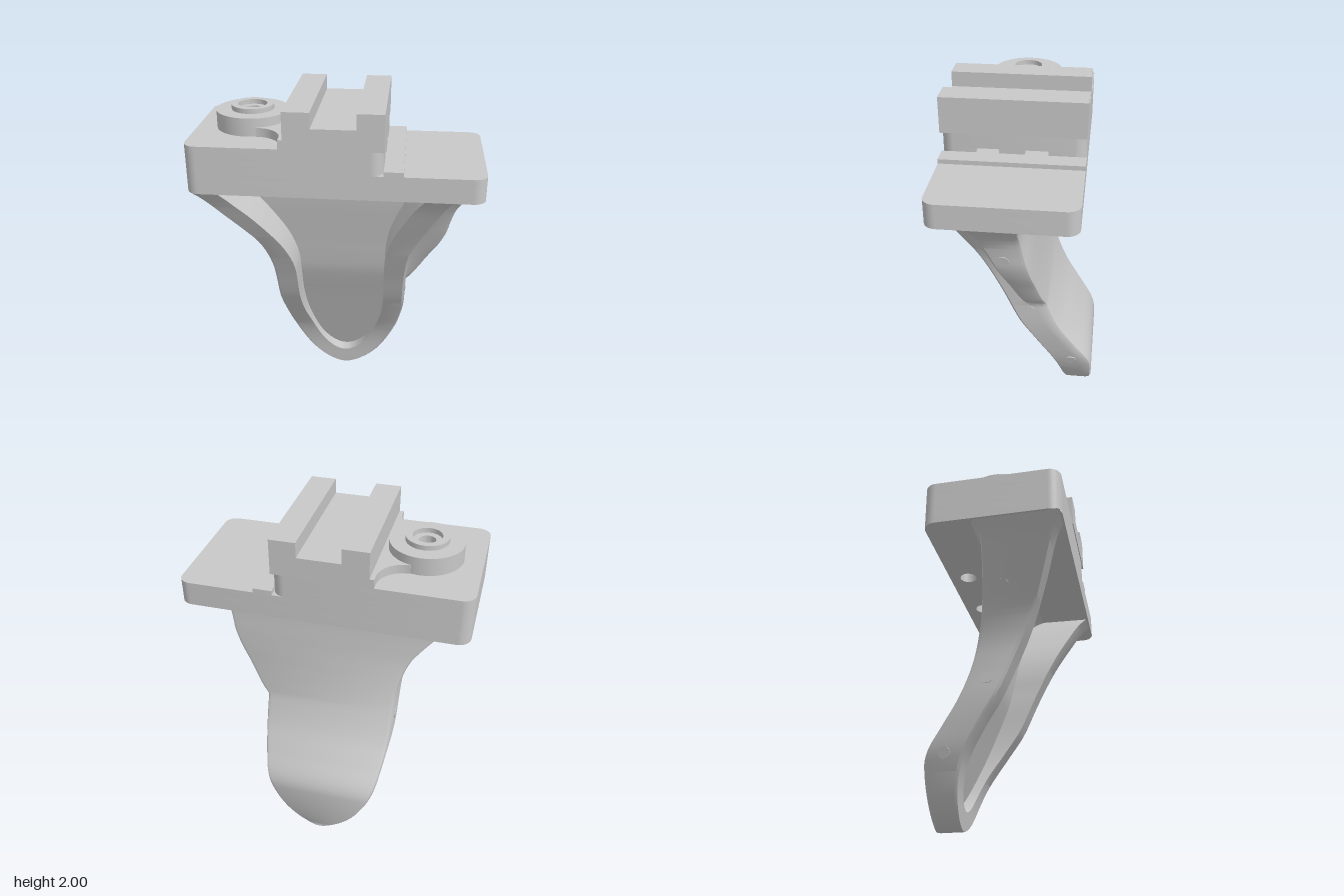
import * as THREE from 'three';
import { toCreasedNormals } from 'three/addons/utils/BufferGeometryUtils.js';

// Smooth function through [key, value] pairs; warp reshapes the key axis (sqrt gives round tips)
function profile(pts, warp = (k) => k) {
  const k = pts.map((p) => warp(p[0])), v = pts.map((p) => p[1]), n = pts.length;
  const slope = v.map((_, i) => {
    const a = Math.max(i - 1, 0), b = Math.min(i + 1, n - 1);
    return (v[b] - v[a]) / (k[b] - k[a]);
  });
  return (y) => {
    const x = THREE.MathUtils.clamp(warp(y), k[0], k[n - 1]);
    let i = 0;
    while (i < n - 2 && x > k[i + 1]) i++;
    const h = k[i + 1] - k[i], t = (x - k[i]) / h, t2 = t * t, t3 = t2 * t;
    return v[i] * (2 * t3 - 3 * t2 + 1) + slope[i] * h * (t3 - 2 * t2 + t)
      + v[i + 1] * (3 * t2 - 2 * t3) + slope[i + 1] * h * (t3 - t2);
  };
}

const TOP = 1.537, TIP = 0.11, EAR = 0.81;
// Half-widths: lower part is shared, the upper part flares less on the side with the ear
const lowerOuter = [[0, 0], [0.05, 0.14], [0.17, 0.25], [0.35, 0.335], [0.5, 0.37], [0.65, 0.39], [0.82, 0.395], [0.95, 0.403]];
const outer = profile([...lowerOuter, [1.05, 0.425], [1.15, 0.465], [1.25, 0.54], [1.35, 0.625], [1.45, 0.71], [TOP, 0.79]], Math.sqrt);
const rimEdge = profile([...lowerOuter, [1.05, 0.415], [1.15, 0.44], [1.25, 0.483], [1.35, 0.535], [1.45, 0.59], [TOP, 0.645]], Math.sqrt);
const fromTip = (y) => Math.sqrt(Math.max(y - TIP, 0));
const lowerInner = [[TIP, 0], [0.15, 0.09], [0.25, 0.165], [0.35, 0.205], [0.5, 0.245], [0.65, 0.262], [0.85, 0.265], [0.95, 0.27]];
const inner = profile([...lowerInner, [1.05, 0.295], [1.15, 0.34], [1.25, 0.405], [1.35, 0.48], [1.45, 0.57], [TOP, 0.64]], fromTip);
const innerRight = profile([...lowerInner, [1.05, 0.275], [1.15, 0.293], [1.25, 0.327], [1.35, 0.375], [1.45, 0.43], [TOP, 0.49]], fromTip);
const earWidth = profile([[EAR, 0.395], [0.86, 0.437], [0.93, 0.478], [1, 0.515], [1.1, 0.575], [1.2, 0.618],
  [1.3, 0.64], [1.4, 0.672], [1.48, 0.735], [TOP, 0.79]]);
const rightSide = (y) => (y > EAR ? earWidth(y) : rimEdge(y));
// Depths of the front rim, the back, the pocket floor and the ear
const frontZ = profile([[0, -0.28], [0.2, -0.25], [0.35, -0.2], [0.52, -0.1], [0.68, 0], [0.9, 0.1], [1.3, 0.29], [1.48, 0.377], [TOP, 0.42]]);
const backZ = profile([[0, -0.435], [0.3, -0.435], [0.38, -0.41], [0.5, -0.33], [0.65, -0.235], [0.82, -0.165],
  [0.95, -0.13], [1.3, -0.06], [1.46, -0.04], [1.5, -0.045], [TOP, -0.085]]);
const floorZ = profile([[TIP, -0.35], [0.35, -0.26], [0.6, -0.165], [0.8, -0.087], [0.88, -0.062], [1.1, -0.018],
  [1.3, 0.022], [1.45, 0.05], [1.5, 0.07], [TOP, 0.13]]);
const earZ = profile([[EAR, -0.04], [0.87, -0.01], [1.2, 0.12], [TOP, 0.26]]);

// Horizontal section of the curved support, clockwise from above
function section(y) {
  const w = outer(y), wr = rimEdge(y), e = rightSide(y), f = frontZ(y), b = backZ(y);
  const pocket = y > TIP;
  const wl = pocket ? inner(y) : 0, wi = pocket ? innerRight(y) : 0, floor = pocket ? floorZ(y) : f;
  const r = Math.min(0.03, w * 0.3), rim = Math.min(0.015, w * 0.2);
  const z = y > EAR ? earZ(y) : (f + b) / 2;
  const d = e - wr;
  return [
    [-w, b + r], [-w + r * 0.3, b + r * 0.3], [-w + r, b], [e - r, b], [e - r * 0.3, b + r * 0.3], [e, b + r],
    [e, z - 0.03], [e - d * 0.15, z - 0.01], [wr + d * 0.25, z], [wr, z + d * 0.2],
    [wr, f - rim], [wr - rim, f], [wi, f], [wi * 0.98, floor], [-wl * 0.98, floor], [-wl, f], [-w + rim, f], [-w, f - rim],
  ];
}

function supportGeometry() {
  const levels = [];
  for (let i = 0; i <= 10; i++) levels.push(TIP * (i / 10) ** 2);
  for (let i = 0; i <= 70; i++) levels.push(TIP + 0.0005 + (TOP - TIP - 0.0005) * (i / 70) ** 1.4);
  const pos = [], idx = [];
  let n = 0;
  levels.forEach((y, row) => {
    const ring = section(y);
    n = ring.length;
    ring.forEach(([x, z]) => pos.push(x, y, z));
    if (row === 0) return;
    for (let j = 0; j < n; j++) {
      const a = (row - 1) * n + j, b = (row - 1) * n + (j + 1) % n;
      idx.push(a, a + n, b, b, a + n, b + n);
    }
  });
  const g = new THREE.BufferGeometry();
  g.setAttribute('position', new THREE.Float32BufferAttribute(pos, 3));
  g.setIndex(idx);
  return toCreasedNormals(g, 0.7);
}

// Plan outline with rounded corners; shape y is -z
function plan(x0, x1, z0, z1, r, notches = []) {
  const s = new THREE.Shape(), a = -z1, b = -z0;
  s.moveTo(x0 + r, a);
  s.absarc(x1 - r, a + r, r, -Math.PI / 2, 0, false);
  notches.forEach((z) => {
    s.lineTo(x1, -z - 0.063);
    s.lineTo(x1 - 0.06, -z - 0.063);
    s.lineTo(x1 - 0.06, -z + 0.063);
    s.lineTo(x1, -z + 0.063);
  });
  s.absarc(x1 - r, b - r, r, 0, Math.PI / 2, false);
  s.absarc(x0 + r, b - r, r, Math.PI / 2, Math.PI, false);
  s.absarc(x0 + r, a + r, r, Math.PI, Math.PI * 1.5, false);
  return s;
}

function slab(shape, y0, y1) {
  const g = new THREE.ExtrudeGeometry(shape, { depth: y1 - y0, bevelEnabled: false, curveSegments: 12 });
  g.rotateX(-Math.PI / 2).translate(0, y0, 0);
  return toCreasedNormals(g, 0.5);
}

export function createModel() {
  const model = new THREE.Group();
  const grey = new THREE.MeshStandardMaterial({ color: 0xc8c8c8 });
  grey.name = 'grey';
  const add = (name, geometry) => {
    const m = new THREE.Mesh(geometry, grey);
    m.name = name;
    model.add(m);
    return m;
  };

  add('curvedSupport', supportGeometry());

  // Base plate with two blind screw holes underneath
  const drilled = plan(-0.8, 0.8, -0.35, 0.43, 0.07);
  [-0.2, 0.2].forEach((x) => {
    drilled.holes.push(new THREE.Path().absarc(x, 0.237, 0.05, 0, Math.PI * 2, true));
  });
  add('basePlateUnderside', slab(drilled, 1.533, 1.62));
  add('basePlate', slab(plan(-0.8, 0.8, -0.35, 0.43, 0.07), 1.62, 1.67));

  // Raised block, slotted on its side
  [[1.67, 1.69, []], [1.69, 1.72, [0.18, -0.083]], [1.72, 1.8, []]].forEach(([y0, y1, notches]) => {
    add('raisedBlock', slab(plan(-0.8, 0.26, -0.35, 0.43, 0.07, notches), y0, y1));
  });
  add('lowStrip', new THREE.BoxGeometry(0.105, 0.035, 0.78)).position.set(0.3125, 1.6775, 0.04);

  // Channel rail
  const rail = new THREE.Shape([[-0.265, 1.8], [0.262, 1.8], [0.262, 2], [0.118, 2], [0.118, 1.915],
    [-0.12, 1.915], [-0.12, 2], [-0.265, 2]].map((p) => new THREE.Vector2(...p)));
  add('channelRail', new THREE.ExtrudeGeometry(rail, { depth: 0.785, bevelEnabled: false })).position.z = -0.35;

  // Flared web joining the boss to the rail
  const web = new THREE.Shape();
  web.moveTo(-0.26, -0.43);
  web.lineTo(-0.26, 0.35);
  web.lineTo(-0.29, 0.35);
  web.absarc(-0.44, 0.31, 0.15, 0, -Math.PI / 2, true);
  web.lineTo(-0.44, -0.24);
  web.absarc(-0.44, -0.39, 0.15, Math.PI / 2, 0, true);
  web.lineTo(-0.29, -0.43);
  add('bossWeb', slab(web, 1.79, 1.85));

  // Round boss with stepped bore
  const boss = [[0.203, 1.79], [0.203, 1.9], [0.118, 1.9], [0.118, 1.927], [0.08, 1.927], [0.08, 1.9],
    [0.045, 1.9], [0.045, 1.82], [0, 1.82]].map((p) => new THREE.Vector2(...p));
  add('roundBoss', toCreasedNormals(new THREE.LatheGeometry(boss, 48), 0.4)).position.set(-0.49, 0, 0.04);

  // Pin seats along both edges of the support
  [[1.25, 0.055], [0.755, -0.065], [0.355, -0.31]].forEach(([y, z]) => {
    [[1, rightSide], [-1, outer]].forEach(([side, width]) => {
      const pin = add('sidePin', new THREE.CylinderGeometry(0.034, 0.034, 0.008, 24));
      const slope = (width(y + 0.02) - width(y - 0.02)) / 0.04;
      pin.position.set(side * width(y), y, z);
      pin.quaternion.setFromUnitVectors(new THREE.Vector3(0, 1, 0), new THREE.Vector3(side, -slope, 0).normalize());
    });
  });
  return model;
}
